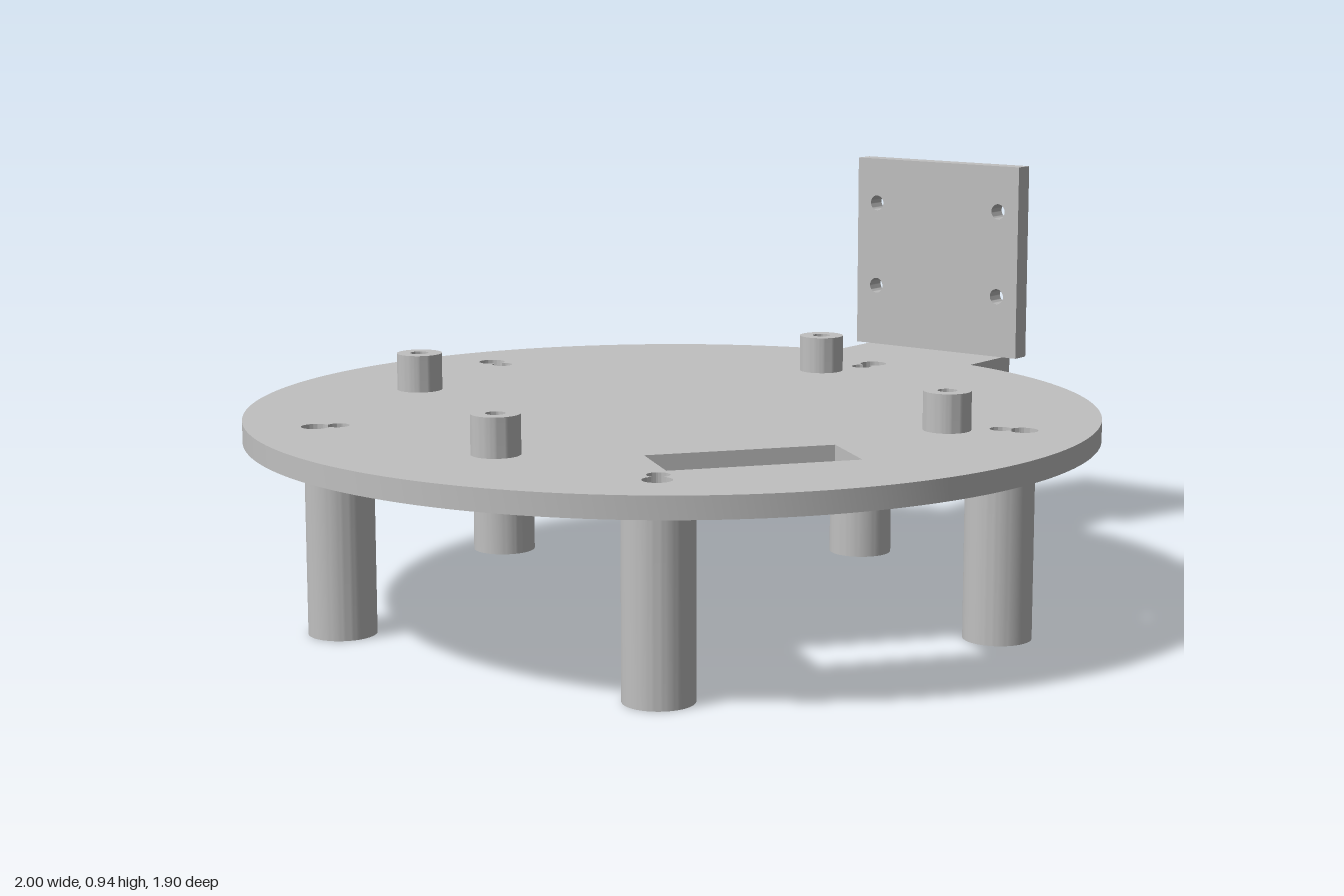
import * as THREE from 'three';
import { toCreasedNormals } from 'three/addons/utils/BufferGeometryUtils.js';

const TAU = Math.PI * 2;
const R = 0.95;                        // deck radius
const Y0 = 0.413, Y1 = 0.461;          // deck underside and top
const LEG_R = 0.075, BOLT_R = 0.024, NOTCH_R = 0.031, OFFSET = 0.05;
const LEG_RING = 0.75, ARM_ANGLE = Math.PI / 5;

// Where two circles (radii a, b, centres d apart) cross: angle seen from each centre
function crossing(a, b, d) {
  const x = (d * d + a * a - b * b) / (2 * d);
  const y = Math.sqrt(a * a - x * x);
  return [Math.atan2(y, x), Math.atan2(y, x - d)];
}

function circlePath(x, y, r) {
  return new THREE.Path().absarc(x, y, r, 0, TAU, true);
}

function ring(outer, inner) {
  const s = new THREE.Shape().absarc(0, 0, outer, 0, TAU, false);
  s.holes.push(circlePath(0, 0, inner));
  return s;
}

function extrude(shape, depth, curveSegments = 32) {
  const g = new THREE.ExtrudeGeometry(shape, { depth, bevelEnabled: false, curveSegments });
  return toCreasedNormals(g, 0.6);
}

// Extrude a plan shape (x, -z) upward from y
function slab(shape, y, height, segments) {
  return extrude(shape, height, segments).rotateX(-Math.PI / 2).translate(0, y, 0);
}

export function createModel() {
  const model = new THREE.Group();
  const body = new THREE.Group();
  body.position.x = -0.05;
  model.add(body);
  const grey = new THREE.MeshStandardMaterial({ color: 0xc0c0c0 });
  grey.name = 'grey';
  const add = (name, geometry, parent = body) => {
    const mesh = new THREE.Mesh(geometry, grey);
    mesh.name = name;
    parent.add(mesh);
    return mesh;
  };

  const [boltA, notchA] = crossing(BOLT_R, NOTCH_R, OFFSET);
  const [legA, rimA] = crossing(LEG_R, NOTCH_R, OFFSET);
  const legAngles = [0, 1, 2, 3, 4].map((i) => ARM_ANGLE + (i * TAU) / 5);
  const posts = [];
  for (const x of [-0.493, 0.493]) for (const y of [-0.415, 0.415]) posts.push([x, y]);

  // Round deck with the bracket arm in one outline
  const half = 0.2, reach = 1.112, spread = Math.asin(half / R);
  const deck = new THREE.Shape();
  deck.absarc(0, 0, R, ARM_ANGLE + spread, ARM_ANGLE - spread + TAU, false);
  const c = Math.cos(ARM_ANGLE), s = Math.sin(ARM_ANGLE);
  deck.lineTo(reach * c + half * s, reach * s - half * c);
  deck.lineTo(reach * c - half * s, reach * s + half * c);
  deck.closePath();

  // Slot, post holes and paired bolt and pin holes
  deck.holes.push(new THREE.Path([
    [-0.206, -0.68], [-0.206, -0.513], [0.206, -0.513], [0.206, -0.68],
  ].map(([x, y]) => new THREE.Vector2(x, y))));
  for (const [x, y] of posts) deck.holes.push(circlePath(x, y, 0.021));
  for (const a of legAngles) {
    const p = new THREE.Path();
    const near = LEG_RING, far = LEG_RING + OFFSET;
    p.absarc(near * Math.cos(a), near * Math.sin(a), BOLT_R, a + boltA, a - boltA + TAU, false);
    p.absarc(far * Math.cos(a), far * Math.sin(a), NOTCH_R, a - notchA, a + notchA, false);
    deck.holes.push(p);
  }
  add('deck', slab(deck, Y0, Y1 - Y0, 96));

  // Legs: a long tube, then a short top section notched by the pin hole
  const notchY = Y0 - 0.02;
  const legTop = new THREE.Shape();
  legTop.absarc(0, 0, LEG_R, legA, TAU - legA, false);
  legTop.absarc(OFFSET, 0, NOTCH_R, -rimA, -notchA, true);
  legTop.absarc(0, 0, BOLT_R, -boltA, boltA, true);
  legTop.absarc(OFFSET, 0, NOTCH_R, notchA, rimA, true);
  const tubeGeo = slab(ring(LEG_R, BOLT_R), 0, notchY, 40);
  const topGeo = slab(legTop, notchY, Y0 - notchY, 40);
  for (const a of legAngles) {
    const leg = new THREE.Group();
    leg.name = 'leg';
    leg.position.set(LEG_RING * Math.cos(a), 0, -LEG_RING * Math.sin(a));
    leg.rotation.y = a;
    add('legTube', tubeGeo, leg);
    add('legTop', topGeo, leg);
    body.add(leg);
  }

  // Hollow mounting posts on the deck
  const postGeo = slab(ring(0.052, 0.021), Y1, 0.085, 40);
  for (const [x, y] of posts) add('mountingPost', postGeo).position.set(x, 0, -y);

  // Upright bracket plate with four screw holes
  const size = 0.476, w = size / 2;
  const plate = new THREE.Shape([
    [-w, 0], [w, 0], [w, size], [-w, size],
  ].map(([x, y]) => new THREE.Vector2(x, y)));
  for (const x of [-0.18, 0.18]) {
    for (const y of [-0.106, 0.106]) plate.holes.push(circlePath(x, 0.257 + y, 0.019));
  }
  const bracket = add('bracketPlate', extrude(plate, 0.048).translate(0, Y1, 1.077));
  bracket.rotation.y = Math.PI / 2 + ARM_ANGLE;

  return model;
}
